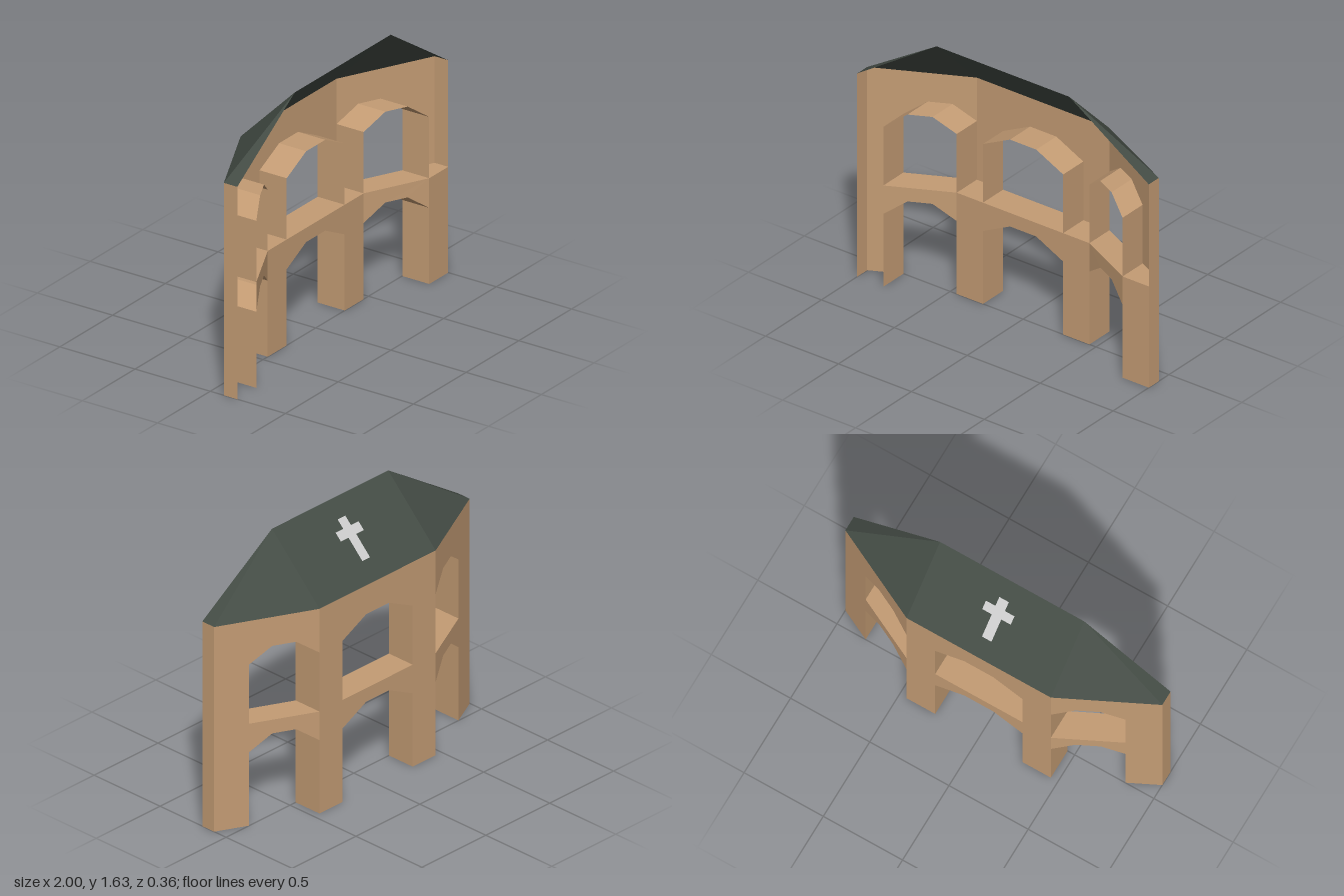
import * as THREE from 'three';

const CORNER = 0.455, FLOOR = 0.635, EAVE = 1.275, RIDGE = 1.635, FRONT = 0.18;

// Plan of the bent wall: z of the outer (rear) and inner (front) faces at x
const zOuter = x => -0.18 + Math.max(0, Math.abs(x) - CORNER) * (0.27 / 0.545);
const zInner = x => Math.min(FRONT, zOuter(x) + 0.18);

// Flat-shaded geometry from polygons given as corner lists
function faces(polys) {
  const pos = [];
  for (const p of polys)
    for (let i = 1; i < p.length - 1; i++) pos.push(...p[0], ...p[i], ...p[i + 1]);
  const g = new THREE.BufferGeometry();
  g.setAttribute('position', new THREE.Float32BufferAttribute(pos, 3));
  g.computeVertexNormals();
  return g;
}

// Band stretched between the outer and inner faces along an (x, y) path
const strip = path => faces(path.slice(1).map(([x, y], i) => {
  const [u, v] = path[i];
  return [[u, v, zOuter(u)], [u, v, zInner(u)], [x, y, zInner(x)], [x, y, zOuter(x)]];
}));

// Chamfered arch outline, from left foot to right foot
const archPath = ({ l, r, flat }, s) => {
  const c = (l + r) / 2;
  return [[l, s.y0], [l, s.spring], [c - flat, s.crown], [c + flat, s.crown], [r, s.spring], [r, s.y0]];
};

// Wall panel from x = a to b with the arch cut out, laid on the given plan curve
function panel(a, b, bay, s, zAt) {
  const pts = [[a, s.y0], ...archPath(bay, s), [b, s.y0], [b, s.y1], [a, s.y1]]
    .filter((p, i, all) => i === 0 || p[0] !== all[i - 1][0] || p[1] !== all[i - 1][1]);
  const g = new THREE.ShapeGeometry(new THREE.Shape(pts.map(p => new THREE.Vector2(...p)))).toNonIndexed();
  const pos = g.attributes.position;
  for (let i = 0; i < pos.count; i++) pos.setZ(i, zAt(pos.getX(i)));
  g.computeVertexNormals();
  return g;
}

export function createModel() {
  const group = new THREE.Group();
  const mat = (name, color, side = THREE.DoubleSide) => {
    const m = new THREE.MeshStandardMaterial({ color, side });
    m.name = name;
    return m;
  };
  const stone = mat('tan stone', 0xc49c74);
  const slate = mat('dark slate', 0x444c45);
  const silver = mat('light grey', 0xcccccc);
  const add = (name, geometry, material) => {
    const m = new THREE.Mesh(geometry, material);
    m.name = name;
    group.add(m);
  };

  const storeys = [
    { name: 'lower', y0: 0, y1: FLOOR, spring: 0.457, crown: 0.55 },
    { name: 'upper', y0: FLOOR, y1: EAVE, spring: 1.003, crown: 1.095 },
  ];
  const bays = [
    { name: 'Right', a: -1, b: -CORNER, l: -0.82, r: -CORNER, flat: 0.062 },
    { name: 'Centre', a: -CORNER, b: CORNER, l: -0.275, r: 0.275, flat: 0.09 },
    { name: 'Left', a: CORNER, b: 1, l: CORNER, r: 0.82, flat: 0.062 },
  ];

  // Arcade: outer wall and arch linings on both storeys, inner wall below only
  for (const s of storeys) for (const bay of bays) {
    add(`${s.name}${bay.name}OuterWall`, panel(bay.a, bay.b, bay, s, zOuter), stone);
    add(`${s.name}${bay.name}ArchLining`, strip(archPath(bay, s)), stone);
    if (s.name === 'lower')
      add(`lower${bay.name}InnerWall`,
        panel(Math.max(bay.a, -0.82), Math.min(bay.b, 0.82), bay, s, zInner), stone);
  }

  // Walkway between the storeys
  add('walkway', strip([-0.82, -CORNER, CORNER, 0.82, 1].map(x => [x, FLOOR])), stone);

  // End walls, and the front plate of the left pier
  for (const x of [-1, 1]) add(x < 0 ? 'rightEndWall' : 'leftEndWall', strip([[x, 0], [x, EAVE]]), stone);
  add('leftPierFront', faces([[[0.82, 0, FRONT], [1, 0, FRONT], [1, FLOOR, FRONT], [0.82, FLOOR, FRONT]]]), stone);

  // Open-fronted roof: central slope, then hip and end triangle each side
  const zBack = zOuter(0);
  const roof = [[[CORNER, EAVE, zBack], [-CORNER, EAVE, zBack], [-CORNER, RIDGE, FRONT], [CORNER, RIDGE, FRONT]]];
  for (const s of [-1, 1]) {
    const peak = [s * CORNER, RIDGE, FRONT], tip = [s, EAVE, zOuter(1)];
    const sides = [
      [[s * CORNER, EAVE, zBack], peak, tip],
      [tip, peak, [s, EAVE, FRONT]],
    ];
    roof.push(...sides.map(t => (s < 0 ? t.reverse() : t)));
  }
  add('roof', faces(roof), slate);

  // Thin cross lying on the central slope
  const slope = (RIDGE - EAVE) / (FRONT - zBack);
  const lift = 0.004;
  const on = (x, z) => [x, EAVE + (z - zBack) * slope + lift, z - lift];
  const bar = (w, z0, z1) => [on(-w, z0), on(-w, z1), on(w, z1), on(w, z0)];
  add('roofCross', faces([
    bar(0.03, -0.09, 0.015), bar(0.09, 0.015, 0.055), bar(0.03, 0.055, 0.097),
  ]), silver);

  return group;
}
